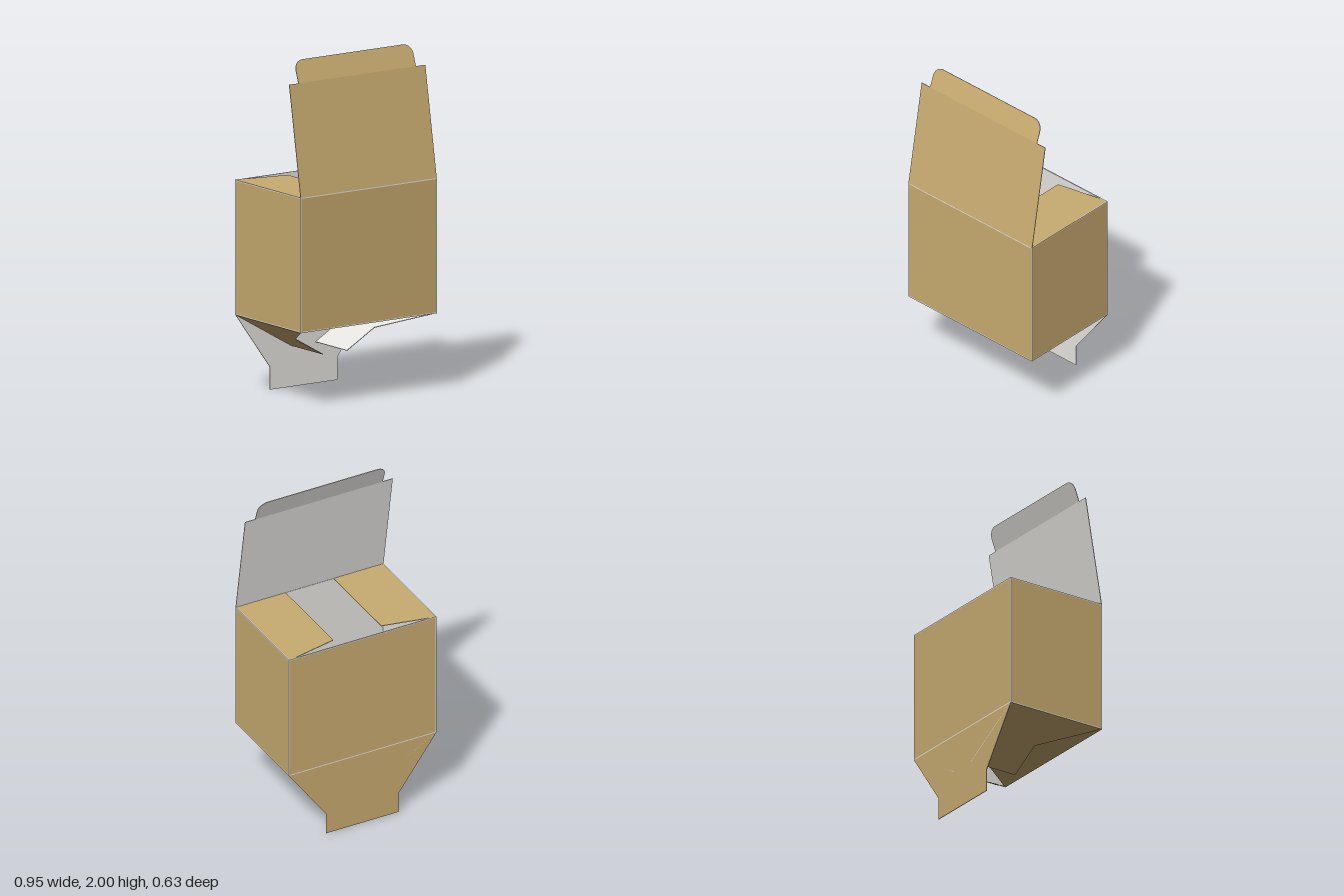
import * as THREE from 'three';

const kraft = new THREE.MeshStandardMaterial({ color: 0xc8ab70 });
kraft.name = 'kraft brown';
const liner = new THREE.MeshStandardMaterial({ color: 0xeae8e4 });
liner.name = 'pale grey liner';

const W = 0.475, D = 0.315, BOTTOM = 0.46, TOP = 1.24; // half width, half depth, wall heights
const BOARD = 0.004, CREASE = 0.006;
const X = new THREE.Vector3(1, 0, 0), Y = new THREE.Vector3(0, 1, 0), Z = new THREE.Vector3(0, 0, 1);

// Thin board drawn in the plane (u, v); brown on the u x v side, grey on the other side and the edges
function board(name, outline, origin, u, v) {
  const shape = outline instanceof THREE.Shape
    ? outline
    : new THREE.Shape(outline.map(([a, b]) => new THREE.Vector2(a, b)));
  const geo = new THREE.ExtrudeGeometry(shape, { depth: BOARD, bevelEnabled: false, curveSegments: 8 });
  const caps = geo.groups[0].count, total = geo.attributes.position.count;
  geo.clearGroups();
  geo.addGroup(0, caps / 2, 1);
  geo.addGroup(caps / 2, caps / 2, 0);
  geo.addGroup(caps, total - caps, 1);
  geo.translate(0, 0, -BOARD);
  const uDir = u.clone().normalize(), vDir = v.clone().normalize();
  const normal = uDir.clone().cross(vDir);
  geo.applyMatrix4(new THREE.Matrix4().makeBasis(uDir, vDir, normal).setPosition(...origin));
  const mesh = new THREE.Mesh(geo, [kraft, liner]);
  mesh.name = name;
  return mesh;
}

const rect = (a, b0, b1) => [[-a, b0], [a, b0], [a, b1], [-a, b1]];

export function createModel() {
  const model = new THREE.Group();
  model.name = 'openCarton';

  // Four walls, set in slightly from the creases
  const low = BOTTOM + CREASE, high = TOP - CREASE;
  model.add(board('frontWall', rect(W - CREASE, low, high), [0, 0, D], X, Y));
  model.add(board('backWall', rect(W - CREASE, low, high), [0, 0, -D], X.clone().negate(), Y));
  for (const s of [1, -1]) {
    const side = s > 0 ? 'left' : 'right';
    model.add(board(side + 'Wall', rect(D - CREASE, low, high), [s * W, 0, 0], Z.clone().multiplyScalar(-s), Y));

    // Top dust flap, with a tapered back edge
    const dust = [[D - 0.005, W], [D - 0.005, 0.155], [-0.25, 0.155], [-0.31, 0.44], [-0.31, W]];
    model.add(board(side + 'TopFlap', dust.map(([z, x]) => [z, s * x]), [0, TOP, 0], Z, X));

    // Bottom side flap, hanging inwards with a slanted front edge
    const lock = [[D, 0], [-0.01, 0.23], [-0.01, 0.45], [-D, 0.45], [-D, 0]];
    model.add(board(side + 'BottomFlap', lock.map(([z, v]) => [s * z, v]), [s * W, BOTTOM, 0],
      Z.clone().multiplyScalar(s), new THREE.Vector3(-0.39 * s, -0.225, 0)));
  }

  // Grey creases along the twelve edges
  const creases = new THREE.Group();
  creases.name = 'creases';
  const bar = (w, h, d, x, y, z) => {
    const mesh = new THREE.Mesh(new THREE.BoxGeometry(w, h, d), liner);
    mesh.name = 'crease';
    mesh.position.set(x, y, z);
    creases.add(mesh);
  };
  const c = CREASE / 2;
  for (const a of [1, -1]) {
    for (const y of [BOTTOM + c, TOP - c]) {
      bar(2 * W, CREASE, CREASE, 0, y, a * (D - c));
      bar(CREASE, CREASE, 2 * D, a * (W - c), y, 0);
    }
    for (const b of [1, -1]) bar(CREASE, TOP - BOTTOM, CREASE, a * (W - c), (TOP + BOTTOM) / 2, b * (D - c));
  }
  model.add(creases);

  // Front bottom flap, folded level under the box
  model.add(board('frontBottomFlap', [[-W, D], [W, D], [0.235, -0.005], [-0.235, -0.005]],
    [0, BOTTOM - 0.001, 0], X, Z));

  // Back bottom flap, hanging straight down with a tongue
  model.add(board('backBottomFlap', [[-W, BOTTOM], [-0.235, 0.13], [-0.235, 0], [0.235, 0], [0.235, 0.13], [W, BOTTOM]],
    [0, 0, -D], X.clone().negate(), Y));

  // Raised lid, hinged on the front wall
  const lidUp = new THREE.Vector3(0, 0.635, -0.11);
  model.add(board('lid', rect(W, 0, lidUp.length()), [0, TOP, D], X, lidUp));

  // Tuck flap with rounded corners
  const tuckUp = new THREE.Vector3(0, 0.125, -0.045);
  const h = tuckUp.length(), r = 0.06, t = 0.41;
  const tuck = new THREE.Shape();
  tuck.moveTo(-t, 0);
  tuck.lineTo(t, 0);
  tuck.lineTo(t, h - r);
  tuck.absarc(t - r, h - r, r, 0, Math.PI / 2, false);
  tuck.lineTo(-t + r, h);
  tuck.absarc(-t + r, h - r, r, Math.PI / 2, Math.PI, false);
  model.add(board('tuckFlap', tuck, [0, 1.875, 0.205], X, tuckUp));

  return model;
}
